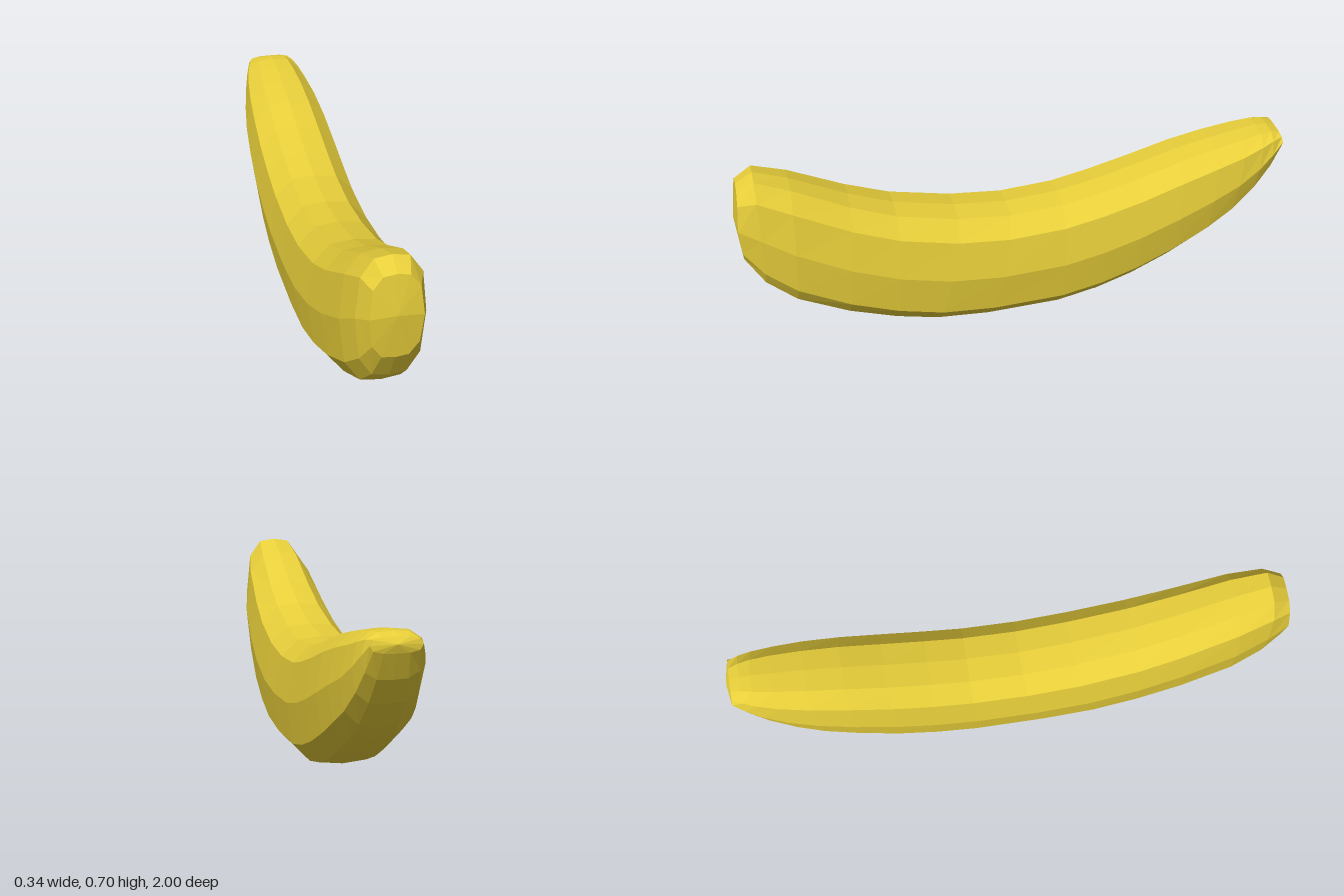
import * as THREE from 'three';

// Twelve-sided cross-section: [share of half width, height share from underside to top]
const half = [[0, 1], [0.5, 0.98], [0.87, 0.84], [1, 0.51], [0.87, 0.17], [0.5, 0.02], [0, 0]];
const section = [...half, ...half.slice(1, -1).reverse().map(([w, t]) => [-w, t])];

// Stations from blunt front end to pinched back tip: top z, top y, bottom z, bottom y, half width
const stations = [
  [0.98, 0.66, 0.98, 0.365, 0.088],
  [0.92, 0.697, 0.915, 0.26, 0.115],
  [0.8, 0.655, 0.81, 0.175, 0.138],
  [0.6, 0.56, 0.63, 0.095, 0.154],
  [0.44, 0.5, 0.46, 0.043, 0.163],
  [0.22, 0.455, 0.31, 0.012, 0.168],
  [0.03, 0.44, 0.12, 0.001, 0.168],
  [-0.16, 0.455, -0.15, 0.012, 0.168],
  [-0.3, 0.485, -0.3, 0.045, 0.168],
  [-0.45, 0.525, -0.43, 0.09, 0.166],
  [-0.6, 0.57, -0.57, 0.155, 0.16],
  [-0.73, 0.6, -0.7, 0.23, 0.15],
  [-0.84, 0.62, -0.79, 0.295, 0.135],
  [-0.91, 0.63, -0.88, 0.385, 0.118],
  [-0.95, 0.629, -0.945, 0.475, 0.102],
  [-0.985, 0.617, -0.99, 0.565, 0.085],
];

// Lofts the rings and closes both ends with a fan
function loft(rings, frontTip, backTip) {
  const positions = [];
  const tri = (...points) => points.forEach((p) => positions.push(...p));
  const n = section.length;
  const last = rings.length - 1;
  for (let j = 0; j < n; j++) {
    const k = (j + 1) % n;
    tri(frontTip, rings[0][k], rings[0][j]);
    for (let i = 0; i < last; i++) {
      const [a, b] = [rings[i], rings[i + 1]];
      tri(a[j], a[k], b[j]);
      tri(a[k], b[k], b[j]);
    }
    tri(backTip, rings[last][j], rings[last][k]);
  }
  const geometry = new THREE.BufferGeometry();
  geometry.setAttribute('position', new THREE.Float32BufferAttribute(positions, 3));
  geometry.computeVertexNormals();
  return geometry;
}

export function createModel() {
  const group = new THREE.Group();
  group.name = 'banana';

  const rings = stations.map(([tz, ty, bz, by, width], i) =>
    section.map(([w, t]) => {
      const bulge = i === 0 ? 0.012 * (1 - Math.abs(2 * t - 1)) : 0; // rounded front end
      return [w * width, by + (ty - by) * t, bz + (tz - bz) * t + bulge];
    }));

  // Curved fruit body
  const peel = new THREE.Mesh(
    loft(rings, [0, 0.525, 1], [0, 0.595, -1]),
    new THREE.MeshStandardMaterial({ color: 0xe8cf3a, flatShading: true }),
  );
  peel.name = 'peel';
  group.add(peel);
  return group;
}
